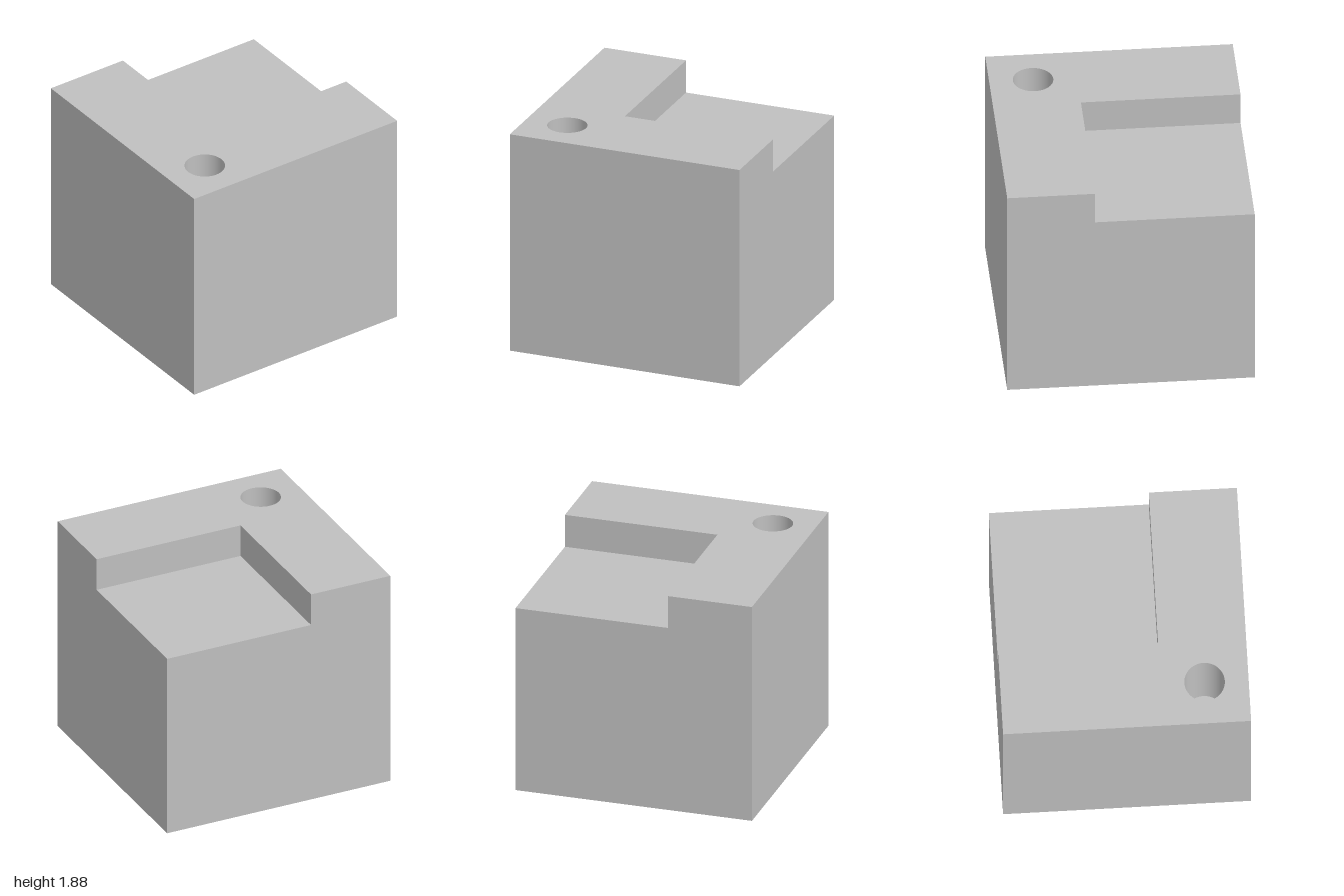
import * as THREE from 'three';

const HEIGHT = 1.88, LEDGE = 1.6, STEP = 0.29;
const Q = Math.PI / 2;

export function createModel() {
  const model = new THREE.Group();
  const grey = new THREE.MeshStandardMaterial({ color: 0xbfbfbf, side: THREE.DoubleSide });
  grey.name = 'light grey';

  function add(name, geometry, x = 0, y = 0, z = 0) {
    const mesh = new THREE.Mesh(geometry, grey);
    mesh.name = name;
    mesh.position.set(x, y, z);
    model.add(mesh);
    return mesh;
  }

  // Flat face from an outline, with an optional round hole [x, y, radius]
  function face(points, hole) {
    const shape = new THREE.Shape(points.map(([x, y]) => new THREE.Vector2(x, y)));
    if (hole) shape.holes.push(new THREE.Path().absarc(...hole, 0, Math.PI * 2, true));
    return new THREE.ShapeGeometry(shape, 48);
  }
  const rect = (x0, y0, x1, y1) => [[x0, y0], [x1, y0], [x1, y1], [x0, y1]];

  // Outer walls: two plain, two cut by the corner notch
  const notched = [[-1, 0], [1, 0], [1, LEDGE], [-STEP, LEDGE], [-STEP, HEIGHT], [-1, HEIGHT]];
  const mirrored = notched.map(([x, y]) => [-x, y]).reverse();
  add('frontWall', face(rect(-1, 0, 1, HEIGHT)), 0, 0, 1);
  add('rightWall', face(rect(-1, 0, 1, HEIGHT)).rotateY(-Q), -1);
  add('leftWall', face(notched).rotateY(Q), 1);
  add('backWall', face(mirrored).rotateY(Math.PI), 0, 0, -1);

  // Notch: ledge and two step walls
  add('notchLedge', face(rect(-STEP, -STEP, 1, 1)).rotateX(-Q), 0, LEDGE);
  add('notchSideStep', face(rect(-STEP, LEDGE, 1, HEIGHT)).rotateY(Q), -STEP);
  add('notchFrontStep', face(rect(-1, LEDGE, STEP, HEIGHT)).rotateY(Math.PI), 0, 0, STEP);

  // L-shaped top and square base, each with a round hole
  const ell = [[-1, -1], [1, -1], [1, -STEP], [-STEP, -STEP], [-STEP, 1], [-1, 1]];
  add('topFace', face(ell, [-0.645, -0.645, 0.163]).rotateX(-Q), 0, HEIGHT);
  add('baseFace', face(rect(-1, -1, 1, 1), [0.36, -0.36, 0.25]).rotateX(Q));

  // Blind bores: open cylinder wall plus a floor disc
  function bore(name, x, z, radius, mouth, end) {
    const depth = Math.abs(mouth - end);
    add(name + 'Wall', new THREE.CylinderGeometry(radius, radius, depth, 96, 1, true), x, (mouth + end) / 2, z);
    const turn = mouth > end ? -Q : Q;
    add(name + 'End', new THREE.CircleGeometry(radius, 96).rotateX(turn), x, end, z);
  }
  bore('topBore', -0.645, 0.645, 0.163, HEIGHT, 1.1);
  bore('baseBore', 0.36, -0.36, 0.25, 0, 0.8);

  return model;
}
